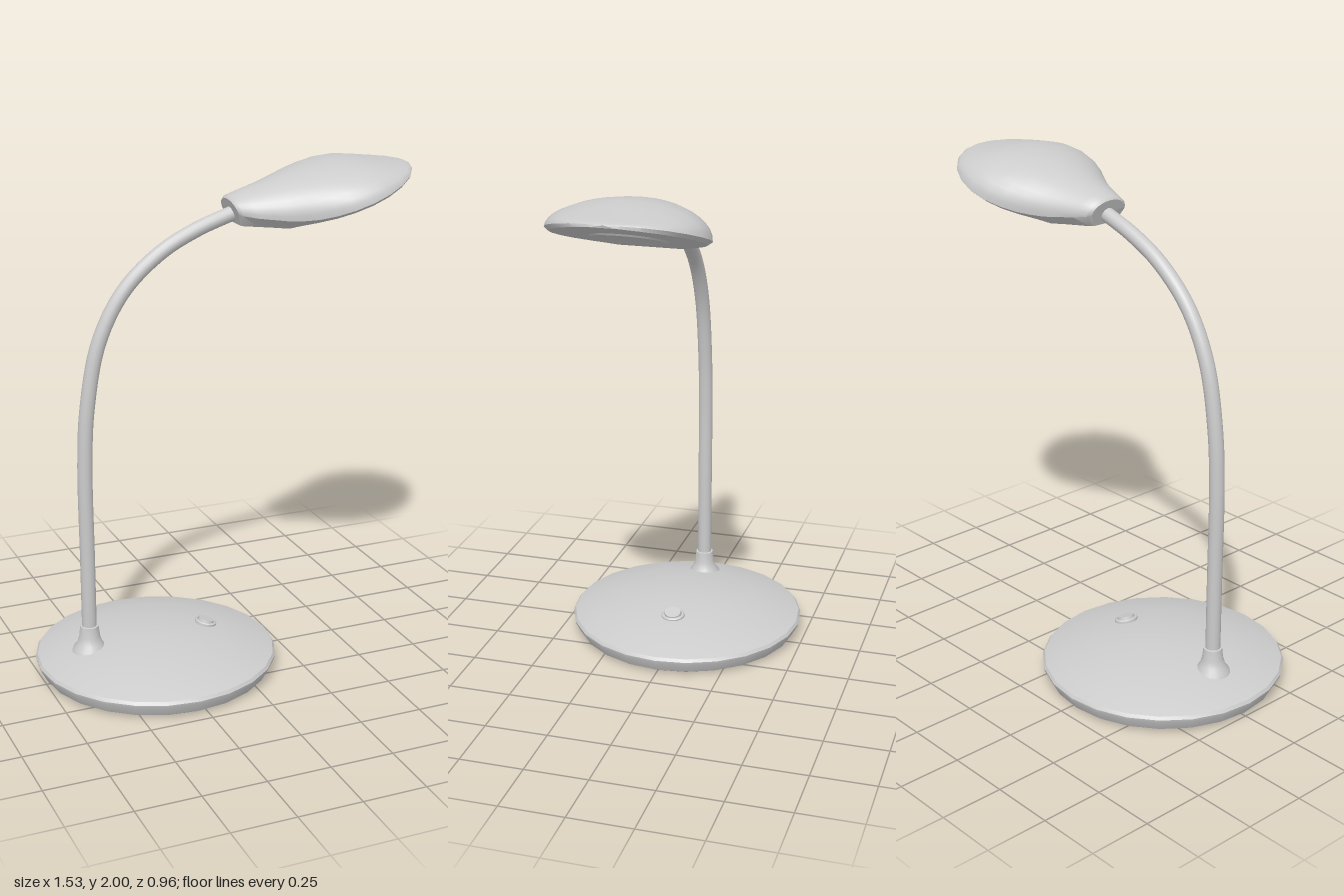
import * as THREE from 'three';
import { toCreasedNormals } from 'three/addons/utils/BufferGeometryUtils.js';

const grey = new THREE.MeshStandardMaterial({ color: 0xcccccc });

function part(name, geometry, x = 0, y = 0, z = 0) {
  const mesh = new THREE.Mesh(geometry, grey);
  mesh.name = name;
  mesh.position.set(x, y, z);
  return mesh;
}

function lathe(profile, sides, crease = 0.5) {
  const points = profile.map(([r, y]) => new THREE.Vector2(r, y));
  return toCreasedNormals(new THREE.LatheGeometry(points, sides), crease);
}

// Lamp head: domed cross-sections along u. Each row is
// [u, half width, widest height, top height, bottom height, flat bottom share]
function headGeometry() {
  const rows = [
    [-0.156, 0.080, 0.120, 0.170, 0.068, 0.70],
    [-0.145, 0.095, 0.110, 0.177, 0.063, 0.70],
    [-0.100, 0.117, 0.085, 0.176, 0.043, 0.68],
    [-0.045, 0.145, 0.060, 0.172, 0.019, 0.68],
    [0.000, 0.170, 0.040, 0.169, 0.000, 0.72],
    [0.045, 0.197, 0.027, 0.167, 0.000, 0.80],
    [0.090, 0.225, 0.018, 0.165, 0.000, 0.88],
    [0.150, 0.260, 0.014, 0.162, 0.000, 0.93],
    [0.212, 0.285, 0.013, 0.155, 0.000, 0.94],
    [0.286, 0.297, 0.013, 0.143, 0.000, 0.94],
    [0.360, 0.286, 0.013, 0.122, 0.000, 0.94],
    [0.435, 0.253, 0.013, 0.085, 0.000, 0.93],
    [0.500, 0.199, 0.013, 0.052, 0.000, 0.92],
    [0.548, 0.128, 0.012, 0.029, 0.000, 0.90],
    [0.572, 0.060, 0.010, 0.016, 0.001, 0.85],
    [0.579, 0.000, 0.009, 0.009, 0.009, 0.80],
  ];
  const arc = 20, ring = arc + 3;
  const positions = [], index = [];
  rows.forEach(([u, w, mid, top, bottom, flat]) => {
    for (let k = 0; k <= arc; k++) {
      const a = Math.PI * k / arc;
      positions.push(u, mid + (top - mid) * Math.sin(a), w * Math.cos(a));
    }
    positions.push(u, bottom, -w * flat, u, bottom, w * flat);
  });
  for (let i = 0; i < rows.length - 1; i++) {
    for (let k = 0; k < ring; k++) {
      const a = i * ring + k, b = i * ring + (k + 1) % ring;
      index.push(a, a + ring, b, b, a + ring, b + ring);
    }
  }
  // Closed neck end
  const centre = positions.length / 3;
  positions.push(rows[0][0], 0.115, 0);
  for (let k = 0; k < ring; k++) index.push(centre, k, (k + 1) % ring);
  const g = new THREE.BufferGeometry();
  g.setAttribute('position', new THREE.Float32BufferAttribute(positions, 3));
  g.setIndex(index);
  return toCreasedNormals(g, 0.6);
}

export function createModel() {
  const lamp = new THREE.Group();
  lamp.name = 'deskLamp';

  // Domed base on a thin foot pad
  lamp.add(part('base', lathe([
    [0, 0.008], [0.445, 0.008], [0.455, 0.014], [0.478, 0.056], [0.48, 0.066],
    [0.472, 0.078], [0.40, 0.104], [0.28, 0.134], [0.14, 0.154], [0, 0.16],
  ], 24), -0.29));
  lamp.add(part('footPad', new THREE.CylinderGeometry(0.385, 0.385, 0.012, 24), -0.29, 0.006));

  // Flared collar where the arm meets the base
  lamp.add(part('collar', lathe([
    [0.074, 0.105], [0.066, 0.13], [0.05, 0.15], [0.041, 0.178], [0.036, 0.222], [0.028, 0.224],
  ], 20, 0.8), -0.567));

  // Curved arm
  const path = new THREE.CatmullRomCurve3([
    [-0.567, 0.12], [-0.567, 0.5], [-0.567, 0.9], [-0.552, 1.12], [-0.5, 1.37],
    [-0.4, 1.555], [-0.25, 1.69], [-0.1, 1.767], [0.04, 1.815], [0.1, 1.836],
  ].map(([x, y]) => new THREE.Vector3(x, y, 0)));
  lamp.add(part('arm', new THREE.TubeGeometry(path, 48, 0.029, 14)));

  // Rocker switch, sloping with the base
  const rocker = new THREE.Group();
  rocker.name = 'switch';
  rocker.position.set(-0.073, 0.146, 0);
  rocker.rotation.z = -0.2;
  rocker.scale.z = 1.12;
  rocker.add(part('switchRim', lathe([
    [0.043, -0.02], [0.043, 0.004], [0.039, 0.008], [0.034, 0.008], [0.033, 0.002], [0, 0.002],
  ], 20)));
  const button = part('switchButton', new THREE.CylinderGeometry(0.03, 0.032, 0.016, 20), 0, 0.006);
  button.rotation.z = -0.12;
  rocker.add(button);
  lamp.add(rocker);

  // Tilted head with a round light panel underneath
  const head = new THREE.Group();
  head.name = 'head';
  head.position.set(0.22, 1.765, 0);
  head.rotation.z = 0.339;
  head.add(part('shade', headGeometry()));
  head.add(part('lightPanel', lathe([
    [0, -0.004], [0.125, -0.004], [0.134, -0.006], [0.142, 0.002],
  ], 32, 0.3), 0.275));
  lamp.add(head);

  return lamp;
}
